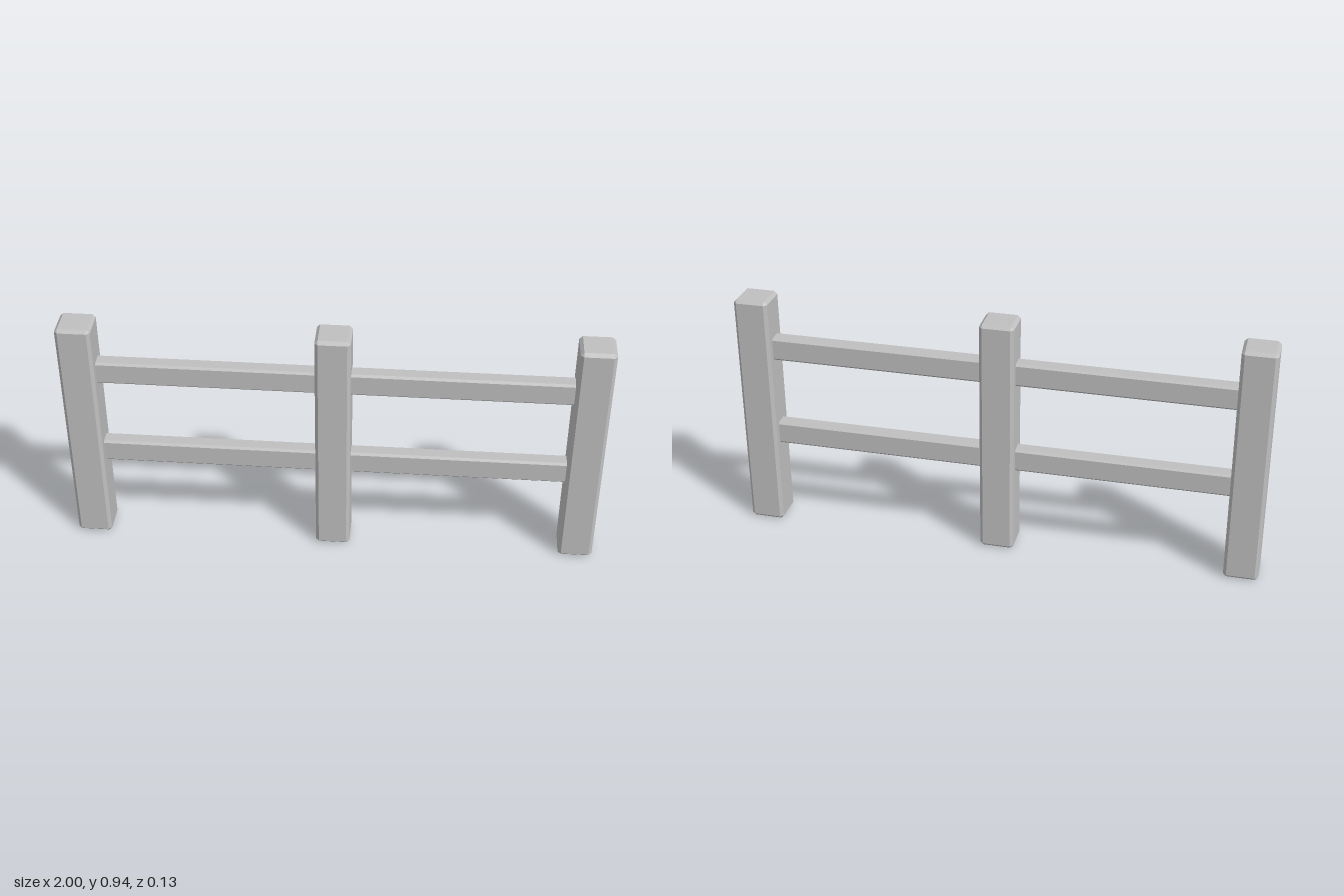
import * as THREE from 'three';
import { ConvexGeometry } from 'three/addons/geometries/ConvexGeometry.js';

// Box with every edge cut by a flat chamfer c
function chamferedBox(w, h, d, c) {
  const points = [];
  for (const sx of [-1, 1]) for (const sy of [-1, 1]) for (const sz of [-1, 1]) {
    const x = w / 2, y = h / 2, z = d / 2;
    points.push(
      new THREE.Vector3(sx * x, sy * (y - c), sz * (z - c)),
      new THREE.Vector3(sx * (x - c), sy * y, sz * (z - c)),
      new THREE.Vector3(sx * (x - c), sy * (y - c), sz * z)
    );
  }
  return new ConvexGeometry(points);
}

export function createModel() {
  const fence = new THREE.Group();
  fence.name = 'fence';
  const grey = new THREE.MeshStandardMaterial({ color: 0xbfbfbf });
  grey.name = 'fenceGrey';

  const add = (name, geometry, x, y) => {
    const mesh = new THREE.Mesh(geometry, grey);
    mesh.name = name;
    mesh.position.set(x, y, 0);
    fence.add(mesh);
  };

  // Three upright posts
  const postSpacing = 0.935, postHeight = 0.935, postWidth = 0.13;
  const post = chamferedBox(postWidth, postHeight, postWidth, 0.012);
  ['rightPost', 'middlePost', 'leftPost'].forEach((name, i) =>
    add(name, post, (i - 1) * postSpacing, postHeight / 2));

  // Two rails in each bay, their ends set into the posts
  const rail = chamferedBox(0.87, 0.09, 0.06, 0.008);
  for (const [side, sx] of [['right', -1], ['left', 1]]) {
    add(side + 'LowerRail', rail, sx * postSpacing / 2, 0.375);
    add(side + 'UpperRail', rail, sx * postSpacing / 2, 0.731);
  }
  return fence;
}
